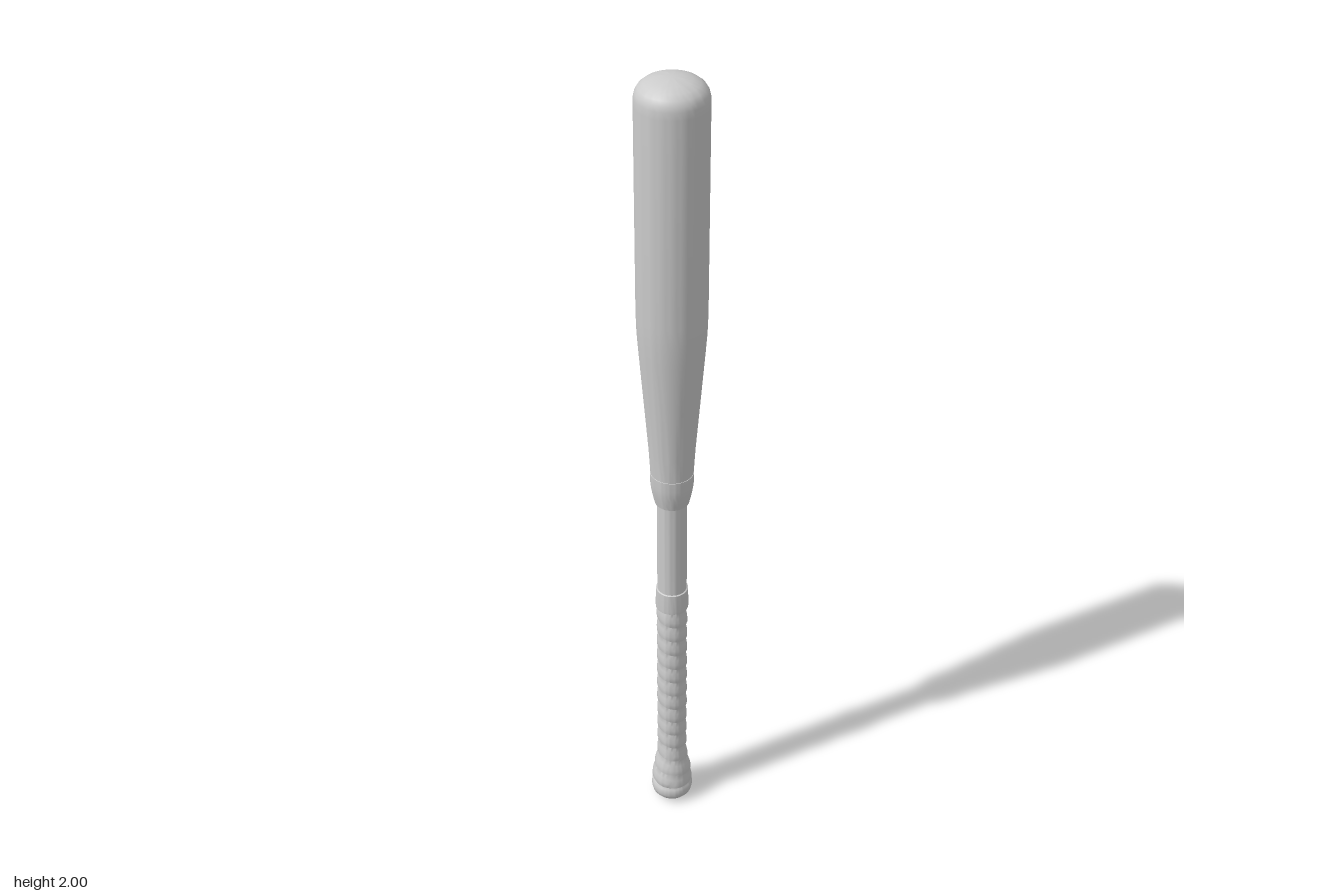
import * as THREE from 'three';
import { toCreasedNormals } from 'three/addons/utils/BufferGeometryUtils.js';

const material = new THREE.MeshStandardMaterial({ color: 0xcccccc });

// Spun part from [radius, height] pairs, listed bottom to top
function lathe(name, profile) {
  const points = profile.map(([r, y]) => new THREE.Vector2(r, y));
  const mesh = new THREE.Mesh(toCreasedNormals(new THREE.LatheGeometry(points, 64), 0.6), material);
  mesh.name = name;
  return mesh;
}

// Grip radius under the tape: straight, flaring out towards the knob
function gripRadius(y) {
  const t = THREE.MathUtils.clamp((0.17 - y) / 0.11, 0, 1);
  return 0.0325 + 0.0135 * t * t * (3 - 2 * t);
}

// One long strip of tape wound down the handle, its lower edge standing proud
function gripTape(bottom, top, pitch) {
  const section = [[0, 0], [0.04, 0.003], [0.15, 0.0045], [0.4, 0.0045], [0.7, 0.003], [1, 0]];
  const perTurn = 48, columns = perTurn * Math.ceil((top - bottom) / pitch + 1);
  const positions = [], indices = [], n = section.length;
  for (let i = 0; i <= columns; i++) {
    const turn = i / perTurn, angle = turn * Math.PI * 2;
    for (const [across, lift] of section) {
      const y = THREE.MathUtils.clamp(top + (across - turn) * pitch, bottom, top);
      const r = gripRadius(y) + lift;
      positions.push(r * Math.sin(angle), y, r * Math.cos(angle));
    }
  }
  for (let i = 0; i < columns; i++) {
    for (let j = 0; j < n - 1; j++) {
      const a = i * n + j, b = a + n;
      indices.push(a, b, b + 1, a, b + 1, a + 1);
    }
  }
  const geometry = new THREE.BufferGeometry();
  geometry.setAttribute('position', new THREE.Float32BufferAttribute(positions, 3));
  geometry.setIndex(indices);
  const mesh = new THREE.Mesh(toCreasedNormals(geometry, 0.6), material);
  mesh.name = 'gripTape';
  return mesh;
}

export function createModel() {
  const bat = new THREE.Group();
  bat.name = 'bat';

  // Barrel with its long taper and domed end
  bat.add(lathe('barrel', [
    [0.035, 1.03], [0.049, 1.03], [0.053, 1.1], [0.063, 1.23], [0.073, 1.36], [0.0765, 1.41],
    [0.078, 1.46], [0.078, 1.94], [0.0775, 1.957], [0.075, 1.968], [0.069, 1.978],
    [0.058, 1.987], [0.042, 1.994], [0.022, 1.9985], [0, 2],
  ]));

  // Collar joining barrel and handle
  bat.add(lathe('collar', [
    [0.034, 0.952], [0.04, 0.952], [0.0425, 0.963], [0.046, 0.98],
    [0.0485, 0.995], [0.05, 1.01], [0.0505, 1.036], [0.047, 1.037],
  ]));

  // Bare handle shaft
  bat.add(lathe('shaft', [[0.035, 0.66], [0.035, 0.96]]));

  // Band closing the top of the grip
  bat.add(lathe('gripBand', [
    [0.03, 0.637], [0.039, 0.637], [0.0395, 0.645], [0.038, 0.692], [0.034, 0.694],
  ]));

  bat.add(gripTape(0.055, 0.64, 0.045));

  // Rounded knob with a narrow groove below the tape
  bat.add(lathe('knob', [
    [0, 0], [0.018, 0.001], [0.033, 0.005], [0.043, 0.011], [0.049, 0.019], [0.0515, 0.029],
    [0.0515, 0.039], [0.0495, 0.047], [0.046, 0.052], [0.045, 0.056], [0.049, 0.058],
    [0.05, 0.062], [0.048, 0.068], [0.042, 0.071],
  ]));

  return bat;
}
